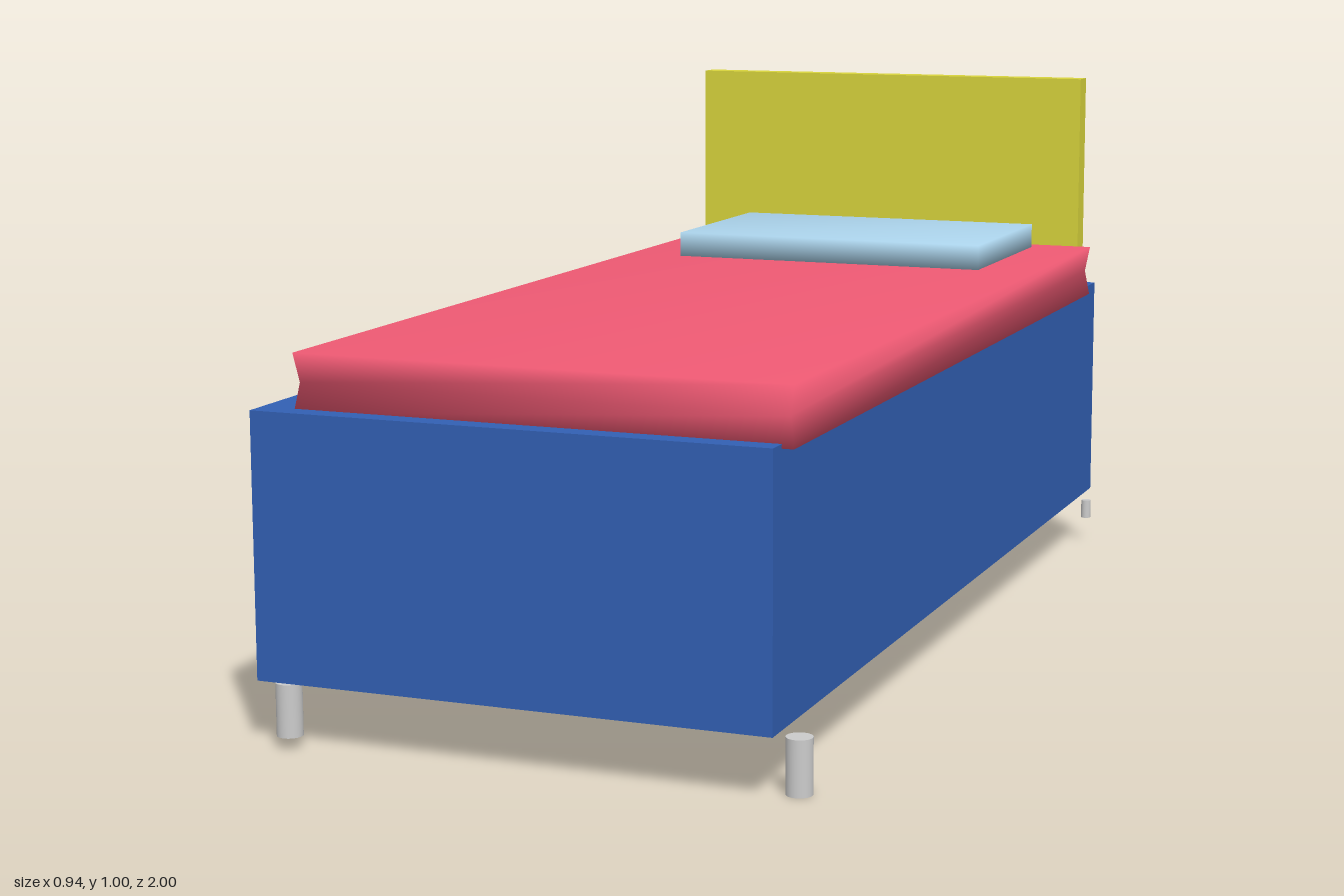
import * as THREE from 'three';
import { mergeVertices } from 'three/addons/utils/BufferGeometryUtils.js';

const material = (color) => new THREE.MeshStandardMaterial({ color });

// Box geometry given by its [min, max] range on each axis
function boxBetween(x, y, z, rows = 1) {
  const geometry = new THREE.BoxGeometry(x[1] - x[0], y[1] - y[0], z[1] - z[0], 1, rows, 1);
  return geometry.translate((x[0] + x[1]) / 2, (y[0] + y[1]) / 2, (z[0] + z[1]) / 2);
}

// Share corners so that shading rolls softly over the edges
function soften(geometry) {
  geometry.deleteAttribute('normal');
  geometry.deleteAttribute('uv');
  const soft = mergeVertices(geometry);
  soft.computeVertexNormals();
  return soft;
}

// Mattress box whose middle ring is pulled in to make a shallow seam
function mattressGeometry(x, y, z, seam) {
  const geometry = boxBetween(x, y, z, 2);
  const p = geometry.attributes.position;
  const cx = (x[0] + x[1]) / 2, cy = (y[0] + y[1]) / 2, cz = (z[0] + z[1]) / 2;
  for (let i = 0; i < p.count; i++) {
    if (Math.abs(p.getY(i) - cy) > 0.01) continue;
    p.setX(i, p.getX(i) - Math.sign(p.getX(i) - cx) * seam);
    p.setZ(i, p.getZ(i) - Math.sign(p.getZ(i) - cz) * seam);
  }
  return soften(geometry);
}

export function createModel() {
  const bed = new THREE.Group();
  bed.name = 'bed';

  const add = (name, geometry, mat) => {
    const mesh = new THREE.Mesh(geometry, mat);
    mesh.name = name;
    bed.add(mesh);
  };

  // Base, headboard and bedding
  add('bedBase', boxBetween([-0.47, 0.43], [0.11, 0.56], [-1, 0.99]), material(0x3260b4));
  add('headboard', boxBetween([-0.43, 0.415], [0.56, 1], [-0.95, -0.905]), material(0xd8d43c));
  add('mattress', mattressGeometry([-0.41, 0.45], [0.553, 0.652], [-0.873, 0.953], 0.008), material(0xf05a74));
  add('pillow', soften(boxBetween([-0.297, 0.335], [0.652, 0.7], [-0.83, -0.43])), material(0xacd4ec));

  // Legs: name, x, z, bottom, top, radius
  const grey = material(0xcccccc);
  const legs = [
    ['frontRightLeg', -0.418, 0.978, 0.02, 0.11, 0.022],
    ['frontLeftLeg', 0.447, 0.915, 0, 0.093, 0.022],
    ['backLeftLeg', 0.427, -0.976, 0.05, 0.088, 0.01],
  ];
  for (const [name, x, z, bottom, top, radius] of legs) {
    const leg = new THREE.CylinderGeometry(radius, radius, top - bottom, 32);
    add(name, leg.translate(x, (top + bottom) / 2, z), grey);
  }

  return bed;
}
